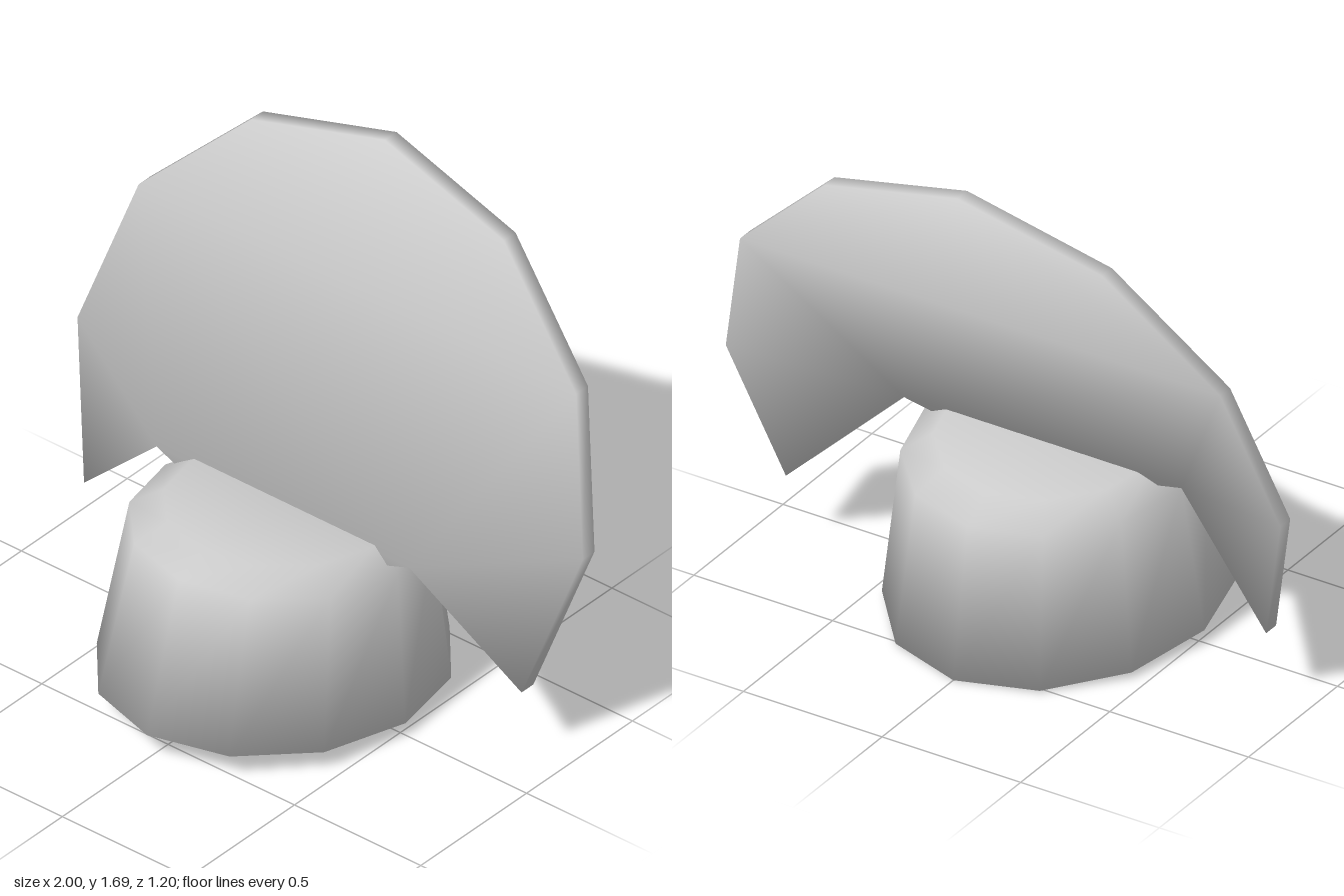
import * as THREE from 'three';

const SIDES = 12;

// Soft vertex normals: each face counts by its corner angle
function softNormals(points, triangles) {
  const v = points.map((p) => new THREE.Vector3(...p));
  const normals = v.map(() => new THREE.Vector3());
  for (const tri of triangles) {
    const [a, b, c] = tri.map((i) => v[i]);
    const face = b.clone().sub(a).cross(c.clone().sub(a)).normalize();
    tri.forEach((index, k) => {
      const next = v[tri[(k + 1) % 3]].clone().sub(v[index]);
      const last = v[tri[(k + 2) % 3]].clone().sub(v[index]);
      normals[index].addScaledVector(face, next.angleTo(last));
    });
  }
  return normals.flatMap((n) => n.normalize().toArray());
}

// Mesh from shared vertices; shadingOnly faces bend the normals but are left open
function makeMesh(name, points, triangles, shadingOnly = []) {
  const normals = softNormals(points, [...triangles, ...shadingOnly]);
  const geometry = new THREE.BufferGeometry();
  geometry.setAttribute('position', new THREE.Float32BufferAttribute(points.flat(), 3));
  geometry.setAttribute('normal', new THREE.Float32BufferAttribute(normals, 3));
  geometry.setIndex(triangles.flat());
  const material = new THREE.MeshStandardMaterial({ color: 0xcccccc, side: THREE.DoubleSide });
  const mesh = new THREE.Mesh(geometry, material);
  mesh.name = name;
  return mesh;
}

// Tapered, slightly tilted crown with a bevelled top and an open underside
function createCrown() {
  const rings = [
    { rx: 0.52, rz: 0.6, y: 0.046, z: 0, slope: 0.073 },
    { rx: 0.46, rz: 0.485, y: 0.545, z: -0.035, slope: 0.082 },
    { rx: 0.36, rz: 0.38, y: 0.605, z: -0.04, slope: 0.079 },
  ];
  const points = [];
  const triangles = [];
  const opening = [];
  for (const r of rings) {
    for (let i = 0; i < SIDES; i++) {
      const a = (i / SIDES) * Math.PI * 2;
      const dz = Math.cos(a) * r.rz;
      points.push([Math.sin(a) * r.rx, r.y + dz * r.slope, r.z + dz]);
    }
  }
  for (let k = 0; k < rings.length - 1; k++) {
    for (let i = 0; i < SIDES; i++) {
      const a = k * SIDES + i;
      const b = k * SIDES + (i + 1) % SIDES;
      triangles.push([a, b, b + SIDES], [a, b + SIDES, a + SIDES]);
    }
  }
  const top = (rings.length - 1) * SIDES;
  for (let i = 1; i < SIDES - 1; i++) {
    triangles.push([top, top + i, top + i + 1]);
    opening.push([0, i + 1, i]);
  }
  return makeMesh('crown', points, triangles, opening);
}

// Thin leaning disc whose lowest three corners are folded up and forward
function createBrim() {
  const thickness = 0.056;
  const front = [];
  for (let i = 0; i < SIDES; i++) {
    const a = (i / SIDES) * Math.PI * 2;
    const h = Math.cos(a);
    front.push([-Math.sin(a), 0.725 + 0.966 * h, -0.265 - 0.258 * h]);
  }
  front[5] = [-0.5, 0.59, -0.042];
  front[6] = [0, 0.45, 0.02];
  front[7] = [0.5, 0.59, -0.042];
  const back = front.map(([x, y, z]) => [x, y, z - thickness]);

  // Face split along the folds: upper disc, side flaps, middle
  const face = [
    [0, 1, 2], [0, 2, 10], [0, 10, 11],
    [2, 3, 5], [3, 4, 5], [7, 8, 9], [7, 9, 10],
    [2, 5, 7], [2, 7, 10], [5, 6, 7],
  ];
  const triangles = [...face];
  for (const [a, b, c] of face) triangles.push([a + SIDES, c + SIDES, b + SIDES]);
  // Rim
  for (let i = 0; i < SIDES; i++) {
    const j = (i + 1) % SIDES;
    triangles.push([i, i + SIDES, j + SIDES], [i, j + SIDES, j]);
  }
  return makeMesh('brim', [...front, ...back], triangles);
}

export function createModel() {
  const hat = new THREE.Group();
  hat.name = 'hat';
  hat.add(createCrown(), createBrim());
  return hat;
}
